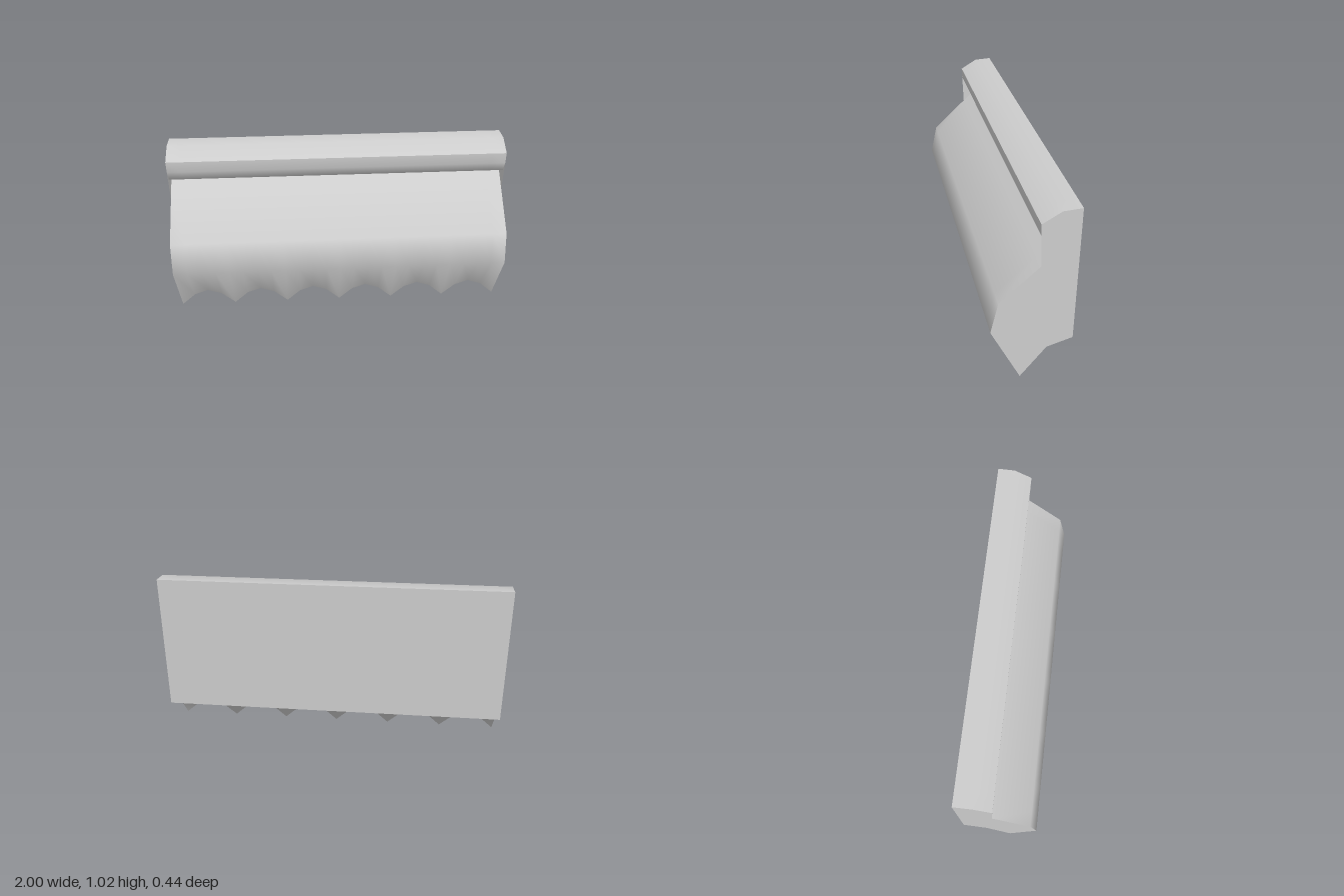
import * as THREE from 'three';

const HALF = 1;           // half of the length along x
const SCALLOPS = 6;
const STEPS = 4;          // straight pieces per scallop
const COLUMNS = SCALLOPS * STEPS;
const SCALLOP_HEIGHT = [0, 0.073, 0.102, 0.073];

// Sweeps a [z, y] profile along x; 'lift' marks a row raised into scallops.
function sweep(name, profile, material) {
  const positions = [], index = [];
  const width = COLUMNS + 1;
  profile.forEach(([z, y, lift = 0], row) => {
    for (let i = 0; i <= COLUMNS; i++) {
      const x = -HALF + (2 * HALF * i) / COLUMNS;
      positions.push(x, y + lift * SCALLOP_HEIGHT[i % STEPS], z);
      if (row === 0 || i === 0) continue;
      const b = row * width + i - 1, a = b - width;
      index.push(a, b, b + 1, a, b + 1, a + 1);
    }
  });
  const geometry = new THREE.BufferGeometry();
  geometry.setAttribute('position', new THREE.Float32BufferAttribute(positions, 3));
  geometry.setIndex(index);
  geometry.computeVertexNormals();
  const mesh = new THREE.Mesh(geometry, material);
  mesh.name = name;
  return mesh;
}

export function createModel() {
  const group = new THREE.Group();
  group.name = 'scallopedTrim';
  const grey = new THREE.MeshStandardMaterial({ color: 0xcccccc, side: THREE.DoubleSide });
  grey.name = 'plainGrey';

  // Each surface is smooth in itself and meets the next at a sharp edge.
  const surfaces = {
    topRail: [[-0.22, 1.022], [-0.12, 1.018], [-0.02, 0.96]],
    grooveUnderRail: [[-0.02, 0.96], [-0.023, 0.895], [-0.05, 0.835], [-0.12, 0.8]],
    frontSlope: [[-0.12, 0.8], [-0.03, 0.718], [0.18, 0.522], [0.22, 0.34], [0.06, 0, 1]],
    underside: [[0.06, 0, 1], [-0.08, 0.183], [-0.22, 0.222]],
    backPanel: [[-0.22, 0.222], [-0.22, 1.022]],
  };
  for (const [name, profile] of Object.entries(surfaces)) {
    group.add(sweep(name, profile, grey));
  }

  // Flat end plates, which also close off the groove.
  const outline = [
    [-0.22, 1.022], [-0.22, 0.222], [-0.08, 0.183], [0.06, 0], [0.22, 0.34],
    [0.18, 0.522], [-0.03, 0.718], [-0.02, 0.96], [-0.12, 1.018],
  ].map(([z, y]) => new THREE.Vector2(z, y));
  for (const side of [-1, 1]) {
    const geometry = new THREE.ShapeGeometry(new THREE.Shape(outline));
    geometry.rotateY(-Math.PI / 2);
    const cap = new THREE.Mesh(geometry, grey);
    cap.name = side > 0 ? 'leftEnd' : 'rightEnd';
    cap.position.x = side * HALF;
    group.add(cap);
  }
  return group;
}
